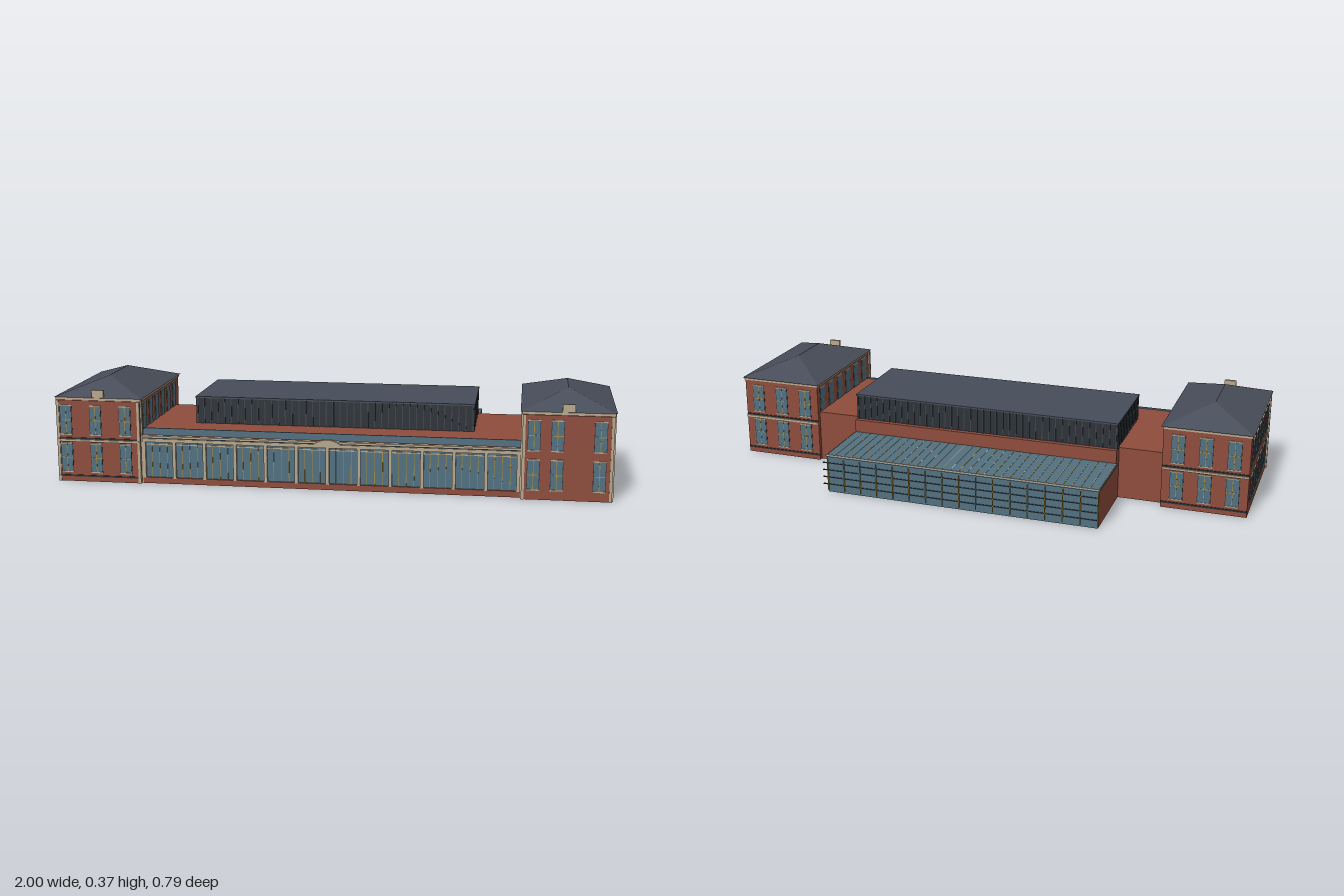
import * as THREE from 'three';

const mat = (color, extra = {}) => new THREE.MeshStandardMaterial({ color, flatShading: true, ...extra });
const BRICK = mat(0x8e4c3c), GLASS = mat(0x527080), SLATE = mat(0x474d59, { side: THREE.DoubleSide });
const STONE = mat(0xb8a88e), BAR = mat(0xa88c3c), DARK = mat(0x2c3137), RIB = mat(0x3b424a);

// Box given by its two extreme corners
function box(parent, name, m, x0, x1, y0, y1, z0, z1) {
  const mesh = new THREE.Mesh(new THREE.BoxGeometry(x1 - x0, y1 - y0, z1 - z0), m);
  mesh.position.set((x0 + x1) / 2, (y0 + y1) / 2, (z0 + z1) / 2);
  mesh.name = name;
  parent.add(mesh);
  return mesh;
}

// Sash window built facing +z at the origin of its group
function windowUnit(w, h, upright) {
  const g = new THREE.Group();
  g.name = 'window';
  const a = w / 2, b = h / 2;
  box(g, 'windowFrame', DARK, -a - 0.002, a + 0.002, -b - 0.002, b + 0.002, -0.002, 0.001);
  box(g, 'windowGlass', GLASS, -a, a, -b, b, -0.002, 0.002);
  box(g, 'sashBar', BAR, -a, a, -0.0015, 0.0015, 0, 0.003);
  if (upright) box(g, 'sashBar', BAR, -0.0012, 0.0012, -b, b, 0, 0.003);
  box(g, 'lintel', STONE, -a - 0.002, a + 0.002, b, b + 0.004, -0.002, 0.004);
  box(g, 'sill', STONE, -a - 0.002, a + 0.002, -b - 0.004, -b, -0.002, 0.004);
  return g;
}

// Hipped roof: eaves rectangle with a ridge along z
function hipRoof(x0, x1, z0, z1, r0, r1, y0, y1) {
  const c = (x0 + x1) / 2;
  const A = [x0, y0, z0], B = [x1, y0, z0], C = [x1, y0, z1], D = [x0, y0, z1];
  const E = [c, y1, r0], F = [c, y1, r1];
  const tris = [A, E, B, C, F, D, B, E, F, B, F, C, D, F, E, D, E, A, A, B, C, A, C, D];
  const geo = new THREE.BufferGeometry();
  geo.setAttribute('position', new THREE.Float32BufferAttribute(tris.flat(), 3));
  geo.computeVertexNormals();
  const roof = new THREE.Mesh(geo, SLATE);
  roof.name = 'hippedRoof';
  return roof;
}

// Two-storey end pavilion; side is +1 or -1
function tower(side, zBack, zFront, frontX, ridgeBack) {
  const g = new THREE.Group();
  g.name = side > 0 ? 'leftPavilion' : 'rightPavilion';
  const x0 = side > 0 ? 0.68 : -0.99, x1 = side > 0 ? 0.99 : -0.68, mid = (x0 + x1) / 2;
  box(g, 'pavilionWalls', BRICK, x0, x1, 0, 0.3, zBack, zFront);
  box(g, 'cornice', STONE, x0 - 0.003, x1 + 0.003, 0.3, 0.31, zBack - 0.002, zFront - 0.005);
  g.add(hipRoof(x0 - 0.008, x1 + 0.008, zBack - 0.009, zFront - 0.002, ridgeBack, 0.23, 0.31, 0.368));

  const add = (x, y, z, turn, w, upright) => {
    const u = windowUnit(w, 0.103, upright);
    u.position.set(x, y, z);
    u.rotation.y = turn;
    g.add(u);
  };
  const outer = side > 0 ? x1 : x0, inner = side > 0 ? x0 : x1;
  for (const y of [0.0885, 0.2275]) {
    for (let i = 0; i < 6; i++) {
      const z = 0.324 - i * 0.078;
      add(outer, y, z, side * Math.PI / 2, 0.042);
      if (y > 0.2) add(inner, y + 0.01, z, -side * Math.PI / 2, 0.042);
    }
    for (const x of frontX) add(x, y, zFront, 0, 0.04, true);
    for (const dx of [-0.1, 0, 0.1]) add(mid + dx, y, zBack, Math.PI, 0.045, true);
  }

  // Stone corner strips, string courses and plinth
  for (const x of [x0, x1])
    box(g, 'cornerStrip', STONE, x - 0.005, x + 0.005, 0, 0.306, zFront - 0.022, zFront - 0.01);
  for (const x of [x0, x1 - 0.01])
    box(g, 'cornerPilaster', STONE, x, x + 0.01, 0, 0.3, zFront - 0.01, zFront + 0.003);
  const faces = side > 0 ? [zBack] : [zBack, zFront];
  for (const z of faces) {
    box(g, 'stringCourse', STONE, x0, x1, 0.148, 0.156, z - 0.005, z + 0.005);
    box(g, 'stringCourseShadow', DARK, x0, x1, 0.158, 0.163, z - 0.003, z + 0.003);
    box(g, 'plinthCourse', DARK, x0, x1, 0.018, 0.024, z - 0.003, z + 0.003);
  }
  // Small stone gablet at the front eaves
  box(g, 'gablet', STONE, mid - 0.022, mid + 0.022, 0.31, 0.338, zFront - 0.015, zFront - 0.004);
  return g;
}

// Main hall with its glazed front
function mainHall() {
  const g = new THREE.Group();
  g.name = 'mainHall';
  box(g, 'hallWalls', BRICK, -0.68, 0.68, 0, 0.195, -0.095, 0.35);
  box(g, 'hallRearWall', BRICK, -0.515, 0.51, 0, 0.197, -0.137, -0.09);
  box(g, 'upperGlazing', GLASS, -0.675, 0.675, 0.176, 0.2, 0.348, 0.354);
  box(g, 'frontPlinth', BRICK, -0.68, 0.68, 0, 0.022, 0.34, 0.375);
  box(g, 'frontGlazing', GLASS, -0.675, 0.675, 0.02, 0.156, 0.362, 0.368);
  box(g, 'frontCornice', STONE, -0.675, 0.675, 0.154, 0.166, 0.36, 0.38);
  box(g, 'corniceLine', DARK, -0.675, 0.675, 0.166, 0.17, 0.36, 0.376);
  box(g, 'corniceCap', STONE, -0.675, 0.675, 0.17, 0.176, 0.36, 0.379);
  box(g, 'transom', STONE, -0.675, 0.675, 0.142, 0.146, 0.366, 0.371);
  const bays = 12, step = 1.34 / bays;
  for (let i = 0; i <= bays; i++) {
    const x = -0.67 + i * step;
    box(g, 'frontPilaster', STONE, x - 0.006, x + 0.006, 0.02, 0.156, 0.362, 0.377);
    if (i === bays) break;
    for (const t of [0.25, 0.5, 0.75])
      box(g, 'frontMullion', BAR, x + step * t - 0.001, x + step * t + 0.001, 0.02, 0.154, 0.366, 0.37);
  }
  // Low arch over the entrance
  const arch = new THREE.Shape();
  arch.moveTo(-0.05, 0);
  arch.quadraticCurveTo(0, 0.036, 0.05, 0);
  const mesh = new THREE.Mesh(new THREE.ExtrudeGeometry(arch, { depth: 0.014, bevelEnabled: false }), STONE);
  mesh.position.set(0, 0.166, 0.37);
  mesh.name = 'entranceArch';
  g.add(mesh);
  return g;
}

// Ribbed roof monitor above the hall
function roofMonitor() {
  const g = new THREE.Group();
  g.name = 'roofMonitor';
  box(g, 'monitorWalls', DARK, -0.511, 0.506, 0.19, 0.29, -0.118, 0.221);
  box(g, 'monitorRoof', SLATE, -0.515, 0.51, 0.289, 0.295, -0.122, 0.225);
  for (let i = 0; i <= 40; i++) {
    const x = -0.508 + i * 0.02527;
    for (const z of [-0.118, 0.221])
      box(g, 'monitorRib', RIB, x - 0.002, x + 0.002, 0.195, 0.289, z - 0.003, z + 0.003);
  }
  for (let i = 0; i <= 13; i++) {
    const z = -0.115 + i * 0.0256;
    for (const x of [-0.511, 0.506])
      box(g, 'monitorRib', RIB, x - 0.003, x + 0.003, 0.195, 0.289, z - 0.002, z + 0.002);
  }
  return g;
}

// Glazed annex at the rear
function annex() {
  const g = new THREE.Group();
  g.name = 'rearAnnex';
  box(g, 'annexWalls', BRICK, -0.515, 0.51, 0, 0.141, -0.38, -0.13);
  box(g, 'rearGlazing', GLASS, -0.515, 0.511, 0, 0.141, -0.386, -0.379);
  box(g, 'sideGlazing', GLASS, 0.505, 0.512, 0, 0.126, -0.25, -0.131);
  box(g, 'sideGlazing', GLASS, 0.505, 0.512, 0, 0.126, -0.386, -0.35);
  box(g, 'sideGlazingHead', DARK, 0.505, 0.512, 0.126, 0.138, -0.386, -0.35);
  box(g, 'roofGlazing', GLASS, -0.52, 0.513, 0.141, 0.148, -0.395, -0.137);
  box(g, 'roofEdge', STONE, -0.52, 0.513, 0.146, 0.151, -0.397, -0.392);
  const bays = 32;
  for (let i = 0; i <= bays; i++) {
    const x = -0.515 + i * 1.025 / bays;
    box(g, 'roofBar', i % 2 ? STONE : BAR, x - 0.001, x + 0.001, 0.145, 0.1495, -0.395, -0.137);
    if (i % 2 === 0) box(g, 'rearMullion', BAR, x - 0.0015, x + 0.0015, 0.008, 0.132, -0.391, -0.384);
  }
  // Horizontal rails run a little past the end wall
  for (const y of [0.03, 0.058, 0.086, 0.114])
    box(g, 'rearRail', DARK, -0.515, 0.53, y - 0.0015, y + 0.0015, -0.389, -0.384);
  return g;
}

export function createModel() {
  const model = new THREE.Group();
  model.name = 'building';
  model.add(
    tower(1, -0.111, 0.393, [0.72, 0.8, 0.945], 0.05),
    tower(-1, -0.13, 0.385, [-0.955, -0.845, -0.735], 0.02),
    mainHall(), roofMonitor(), annex(),
  );
  return model;
}
